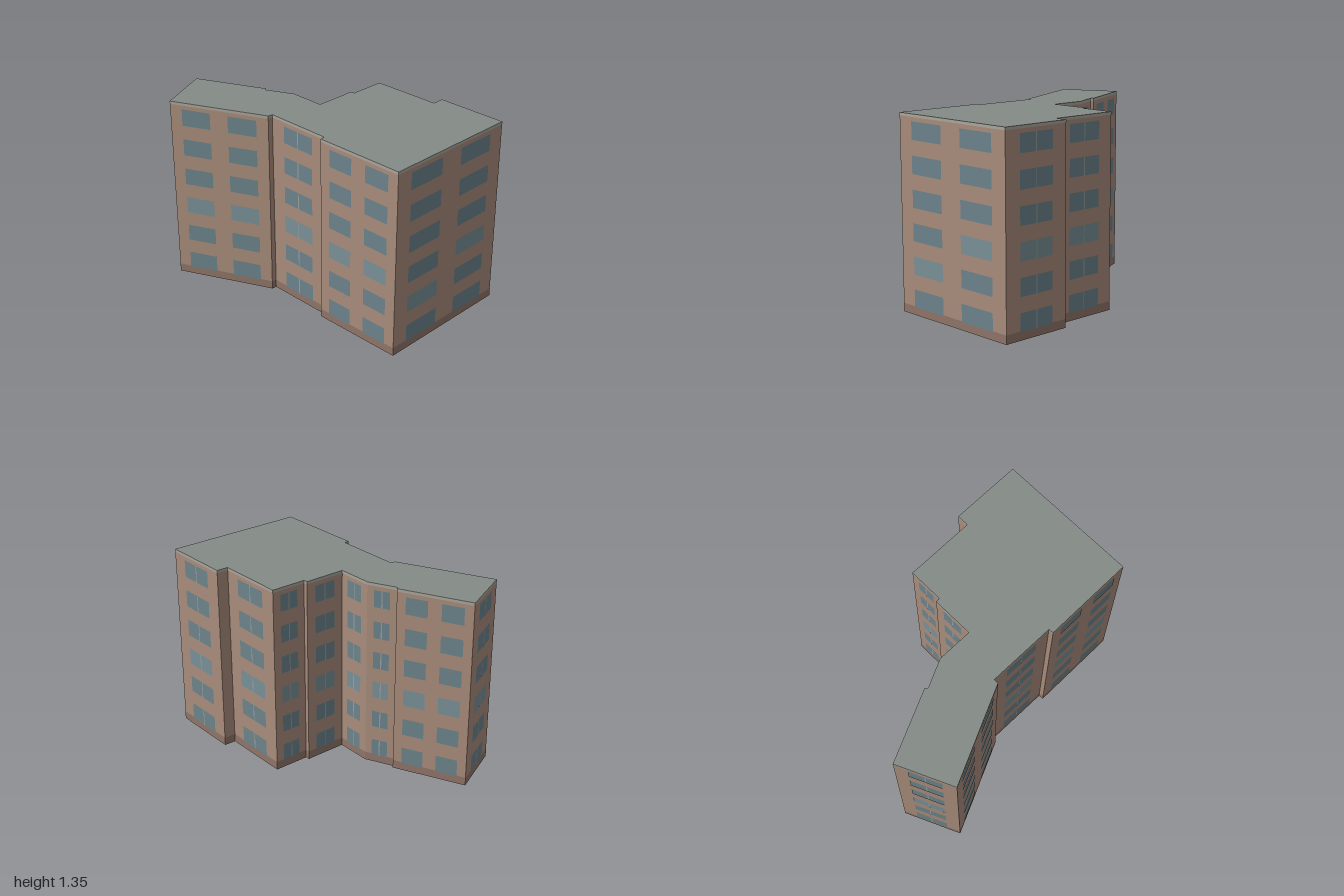
import * as THREE from 'three';

const HEIGHT = 1.35, PLINTH = 0.06, BAND = 0.02;
const FLOORS = 6, FLOOR_PITCH = 0.225, SILL = 0.055, PANE_HEIGHT = 0.122;

// Footprint corners [x, z, layout]; the layout belongs to the wall starting at that corner
const OUTLINE = [
  [-0.29, 0.995, 'two'], [0.73, 0.91, 'pair'], [0.69, 0.40, ''], [0.605, 0.405, 'pair'],
  [0.565, -0.095, 'pair'], [0.31, -0.075, ''], [0.307, -0.105, 'pair'], [0.005, -0.08, 'pair'],
  [-0.015, -0.335, 'pair'], [-0.12, -0.52, ''], [-0.105, -0.535, 'two'], [-0.365, -1.0, 'pair'],
  [-0.735, -0.79, 'two'], [-0.38, -0.16, ''], [-0.345, -0.16, 'pair'], [-0.31, 0.33, ''],
  [-0.345, 0.335, 'two'],
];

// Window spans as fractions of the wall length
const SPANS = { two: [[0.12, 0.41], [0.59, 0.88]], pair: [[0.23, 0.77]], '': [] };

const paint = (color, side = THREE.FrontSide) =>
  new THREE.MeshStandardMaterial({ color, side });

export function createModel() {
  const building = new THREE.Group();
  building.name = 'apartmentBuilding';
  const mats = {
    wall: paint(0xa88c7b, THREE.DoubleSide),
    plinth: paint(0x8f7468),
    band: paint(0xaaa69c),
    roof: paint(0x848b87, THREE.DoubleSide),
    glass: paint(0x6c838b),
    paleGlass: paint(0x789097),
    mullion: paint(0x9a9f9c),
  };

  // Flat panel in a wall's own frame: x along the wall, y up, z outward
  const panel = (parent, name, mat, x0, x1, y0, y1, out) => {
    const mesh = new THREE.Mesh(new THREE.PlaneGeometry(x1 - x0, y1 - y0), mat);
    mesh.position.set((x0 + x1) / 2, (y0 + y1) / 2, out);
    mesh.name = name;
    parent.add(mesh);
  };

  OUTLINE.forEach(([x, z, layout], i) => {
    const [nx, nz] = OUTLINE[(i + 1) % OUTLINE.length];
    const length = Math.hypot(nx - x, nz - z);
    const wall = new THREE.Group();
    wall.name = 'facade' + (i + 1);
    wall.position.set(x, 0, z);
    wall.rotation.y = -Math.atan2(nz - z, nx - x);
    building.add(wall);

    // Wall sheet with the base course and the roof edge
    panel(wall, 'wall', mats.wall, 0, length, 0, HEIGHT, 0);
    panel(wall, 'plinth', mats.plinth, 0, length, 0, PLINTH, 0.001);
    panel(wall, 'roofEdge', mats.band, 0, length, HEIGHT - BAND, HEIGHT, 0.001);

    // Windows on every floor; the wide single ones carry a central mullion
    SPANS[layout].forEach(([t0, t1], column) => {
      for (let floor = 0; floor < FLOORS; floor++) {
        const y = SILL + floor * FLOOR_PITCH;
        const pale = floor === (i === 0 && column === 0 ? 1 : 2);
        panel(wall, 'window', pale ? mats.paleGlass : mats.glass,
          t0 * length, t1 * length, y, y + PANE_HEIGHT, 0.002);
        if (layout === 'pair') {
          const mid = length / 2;
          panel(wall, 'mullion', mats.mullion, mid - 0.004, mid + 0.004, y, y + PANE_HEIGHT, 0.003);
        }
      }
    });
  });

  // Flat roof following the footprint
  const shape = new THREE.Shape(OUTLINE.map(([x, z]) => new THREE.Vector2(x, -z)));
  const roof = new THREE.Mesh(new THREE.ShapeGeometry(shape).rotateX(-Math.PI / 2), mats.roof);
  roof.position.y = HEIGHT;
  roof.name = 'roof';
  building.add(roof);

  return building;
}
